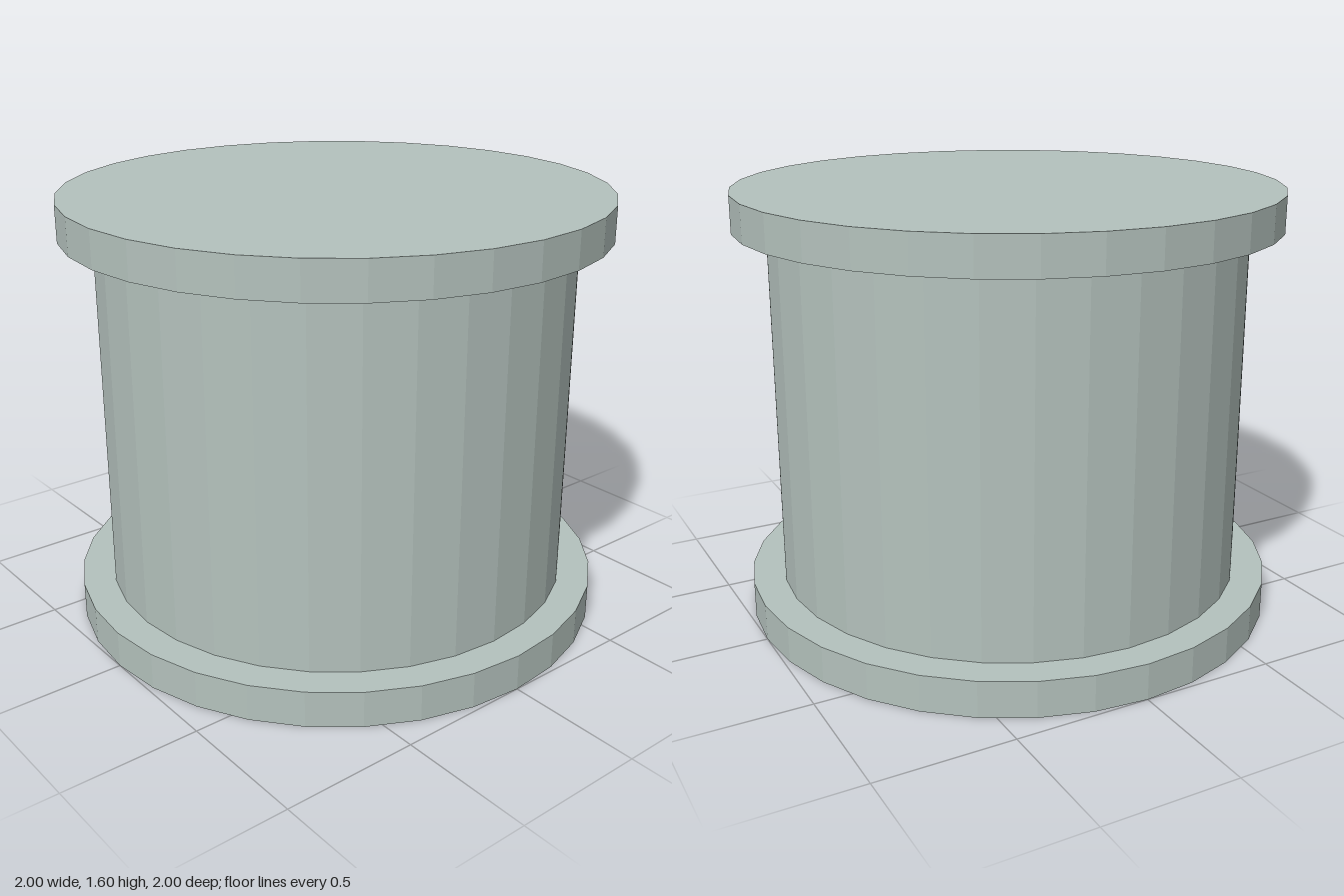
import * as THREE from 'three';

const SIDES = 32;
const HEIGHT = 1.6, FLANGE = 0.135;
const OUTER_R = 1, BODY_R = 0.88, CORE_R = 0.6;

// Gives every facet its own flat normal
function faceted(geometry) {
  const flat = geometry.toNonIndexed();
  flat.computeVertexNormals();
  return flat;
}

export function createModel() {
  const group = new THREE.Group();
  group.name = 'spool';
  const metal = new THREE.MeshStandardMaterial({ color: 0xb4c2bd });
  metal.name = 'pale grey green';

  function add(name, geometry, y) {
    const mesh = new THREE.Mesh(faceted(geometry), metal);
    mesh.name = name;
    mesh.position.y = y;
    group.add(mesh);
  }

  // Wide drum between the flanges
  add('drum', new THREE.CylinderGeometry(BODY_R, BODY_R, HEIGHT - 2 * FLANGE, SIDES, 1, true), HEIGHT / 2);

  // Core whose ends sit flush with the outer faces of the flanges
  add('core', new THREE.CylinderGeometry(CORE_R, CORE_R, HEIGHT, SIDES), HEIGHT / 2);

  // Ring flanges at both ends
  const profile = [[CORE_R, 0], [OUTER_R, 0], [OUTER_R, FLANGE], [CORE_R, FLANGE]]
    .map(([r, y]) => new THREE.Vector2(r, y));
  add('bottomFlange', new THREE.LatheGeometry(profile, SIDES), 0);
  add('topFlange', new THREE.LatheGeometry(profile, SIDES), HEIGHT - FLANGE);

  return group;
}
